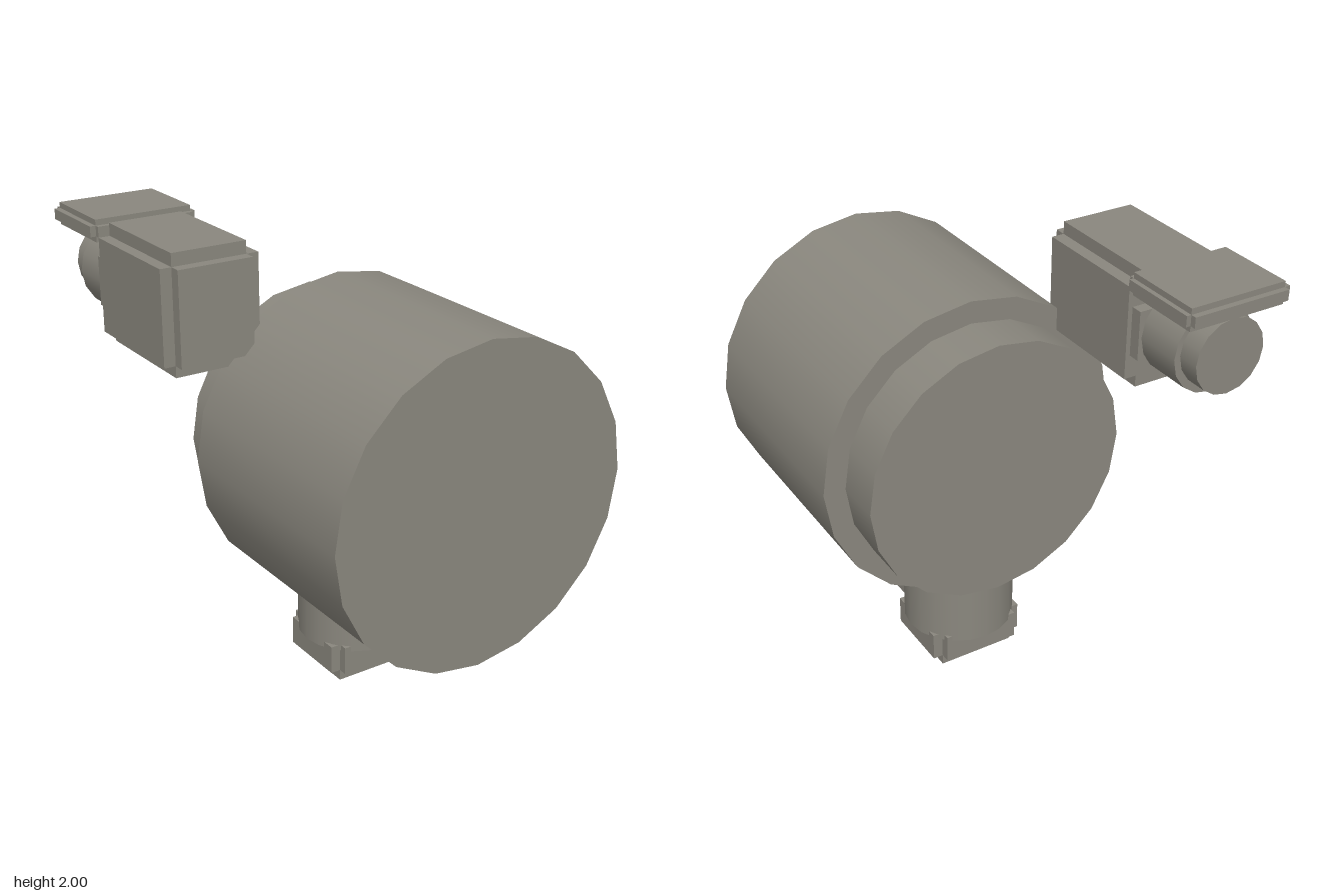
import * as THREE from 'three';

const material = new THREE.MeshStandardMaterial({ color: 0x8a877e });
const facetedMaterial = new THREE.MeshStandardMaterial({ color: 0x8a877e, flatShading: true });

function add(parent, name, geometry, x, y, z, surface = material) {
  const mesh = new THREE.Mesh(geometry, surface);
  mesh.name = name;
  mesh.position.set(x, y, z);
  parent.add(mesh);
}

// Box spanning the given ranges
function box(parent, name, [x0, x1], [y0, y1], [z0, z1]) {
  add(parent, name, new THREE.BoxGeometry(x1 - x0, y1 - y0, z1 - z0),
    (x0 + x1) / 2, (y0 + y1) / 2, (z0 + z1) / 2);
}

// Cylinder lying along z between z0 and z1
function barrel(parent, name, radius, x, y, z0, z1, sides, surface) {
  const geometry = new THREE.CylinderGeometry(radius, radius, z1 - z0, sides).rotateX(Math.PI / 2);
  add(parent, name, geometry, x, y, (z0 + z1) / 2, surface);
}

// Block with stepped edges: three boxes, each reaching full size on one axis only
function steppedBlock(parent, name, outer, inner) {
  const group = new THREE.Group();
  group.name = name;
  ['sideSlab', 'verticalSlab', 'endSlab'].forEach((slab, axis) =>
    box(group, slab, ...inner.map((range, i) => (i === axis ? outer[i] : range))));
  parent.add(group);
}

export function createModel() {
  const model = new THREE.Group();
  model.name = 'drumLamp';

  // Main drum and its narrower back
  const cx = 0.09, cy = 1.08;
  barrel(model, 'mainDrum', 0.688, cx, cy, -0.065, 0.94, 20);
  barrel(model, 'backDrum', 0.59, cx, cy, -0.28, -0.06, 20);

  // Neck and the stepped foot below it
  add(model, 'neck', new THREE.CylinderGeometry(0.248, 0.248, 0.49, 20), 0.093, 0.4, 0.06);
  steppedBlock(model, 'foot',
    [[-0.13, 0.31], [0, 0.2], [-0.14, 0.26]],
    [[-0.085, 0.265], [0.05, 0.18], [-0.095, 0.22]]);

  // Pair of hexagonal rods under the drum
  barrel(model, 'upperRod', 0.062, 0.242, 0.353, 0.08, 0.7, 6, facetedMaterial);
  barrel(model, 'lowerRod', 0.062, 0.242, 0.25, 0.08, 0.65, 6, facetedMaterial);

  // Side housing
  steppedBlock(model, 'housing',
    [[-0.755, -0.32], [1.48, 1.985], [-0.545, 0.035]],
    [[-0.705, -0.375], [1.53, 1.93], [-0.545, -0.015]]);

  // Eyepiece behind the housing
  box(model, 'eyepieceMount', [-0.74, -0.34], [1.63, 1.84], [-0.595, -0.53]);
  barrel(model, 'eyepieceBarrel', 0.187, -0.54, 1.725, -0.8, -0.59, 16);
  barrel(model, 'eyepieceCap', 0.16, -0.54, 1.735, -0.895, -0.79, 16);

  // Stepped visor over the eyepiece
  steppedBlock(model, 'visor',
    [[-0.78, -0.3], [1.905, 2], [-0.94, -0.545]],
    [[-0.755, -0.32], [1.93, 1.975], [-0.915, -0.567]]);

  return model;
}
